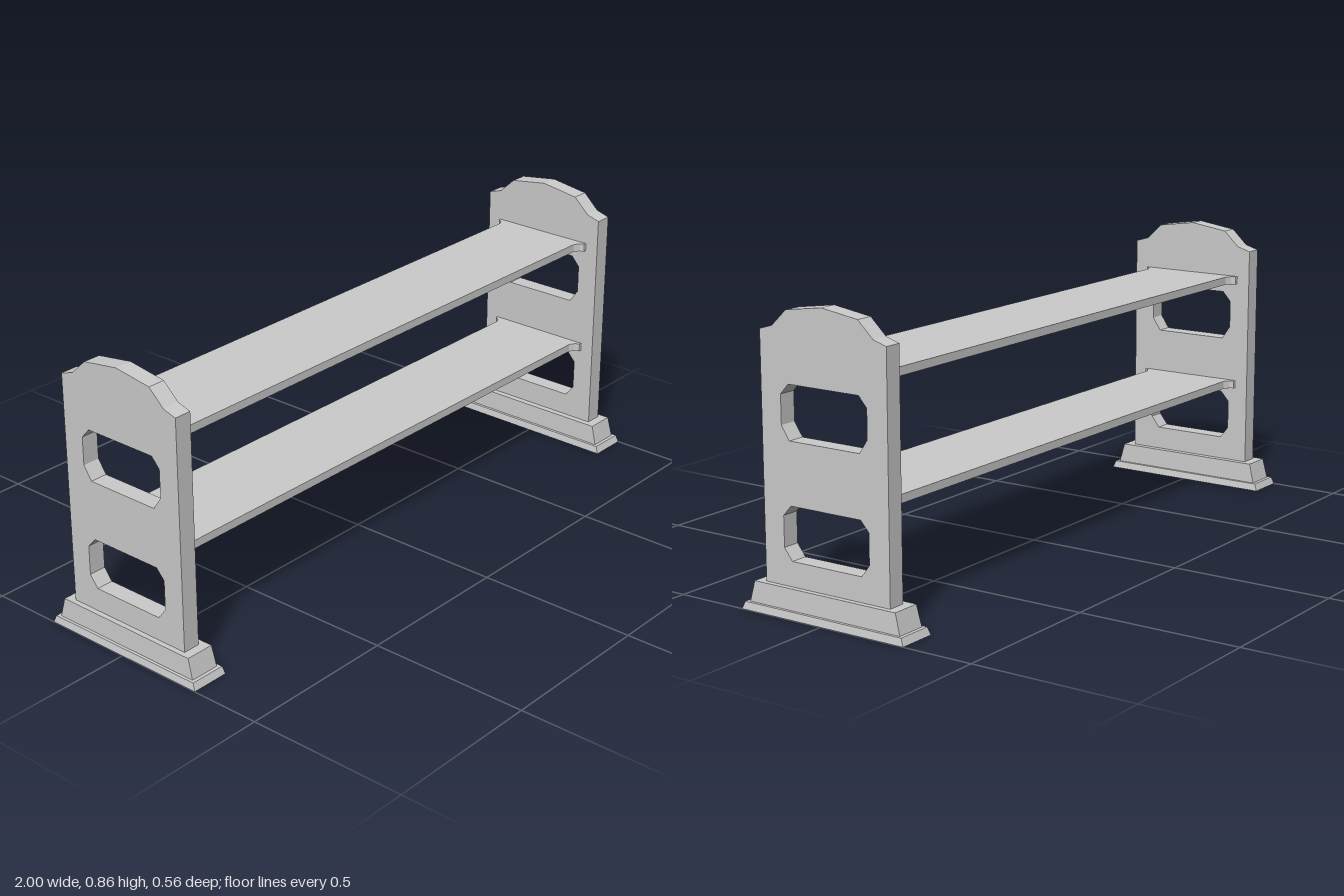
import * as THREE from 'three';

const material = new THREE.MeshStandardMaterial({ color: 0xcccccc, flatShading: true });

// Stacks rectangular rings [half x, half z, y] and caps both ends
function loftRectangles(rings) {
  const corners = rings.map(([x, z, y]) => [[x, y, z], [x, y, -z], [-x, y, -z], [-x, y, z]]);
  const pos = [];
  const quad = (a, b, c, d) => pos.push(...a, ...b, ...c, ...a, ...c, ...d);
  for (let i = 0; i < corners.length - 1; i++) {
    for (let k = 0; k < 4; k++) {
      const n = (k + 1) % 4;
      quad(corners[i][k], corners[i][n], corners[i + 1][n], corners[i + 1][k]);
    }
  }
  quad(...corners[corners.length - 1]);
  quad(...[...corners[0]].reverse());
  const geo = new THREE.BufferGeometry();
  geo.setAttribute('position', new THREE.Float32BufferAttribute(pos, 3));
  geo.computeVertexNormals();
  return geo;
}

const points = (list) => list.map(([x, y]) => new THREE.Vector2(x, y));

// Octagonal opening with clipped corners
function opening(bottom, lowShoulder, highShoulder, top) {
  return new THREE.Path(points([
    [-0.12, bottom], [0.12, bottom], [0.147, lowShoulder], [0.147, highShoulder],
    [0.12, top], [-0.12, top], [-0.147, highShoulder], [-0.147, lowShoulder],
  ]));
}

// Upright end panel with a peaked crest and two openings
function endPanelGeometry() {
  const shape = new THREE.Shape(points([
    [-0.215, 0.083], [0.215, 0.083], [0.215, 0.785], [0.172, 0.798], [0.122, 0.845],
    [0, 0.863], [-0.122, 0.845], [-0.172, 0.798], [-0.215, 0.785],
  ]));
  shape.holes.push(opening(0.155, 0.19, 0.28, 0.31), opening(0.49, 0.53, 0.615, 0.645));
  const depth = 0.054;
  const geo = new THREE.ExtrudeGeometry(shape, { depth, bevelEnabled: false });
  return geo.translate(0, 0, -depth / 2).rotateY(Math.PI / 2);
}

// Long shelf whose ends flare where they meet the panels
function shelfGeometry() {
  const flare = [[0.882, 0.147], [0.9, 0.157], [0.907, 0.17], [0.916, 0.172]];
  const flip = (sx, sy) => flare.map(([x, y]) => [x * sx, y * sy]);
  const shape = new THREE.Shape(points([
    ...flip(1, 1), ...flip(1, -1).reverse(), ...flip(-1, -1), ...flip(-1, 1).reverse(),
  ]));
  const geo = new THREE.ExtrudeGeometry(shape, { depth: 0.025, bevelEnabled: false });
  return geo.rotateX(-Math.PI / 2);
}

export function createModel() {
  const group = new THREE.Group();
  const add = (name, geo, x, y) => {
    const mesh = new THREE.Mesh(geo, material);
    mesh.name = name;
    mesh.position.set(x, y, 0);
    group.add(mesh);
  };

  // Stepped foot with a shallow recess underneath
  const foot = loftRectangles([
    [0.05, 0.268, 0.004], [0.051, 0.268, 0], [0.06, 0.28, 0],
    [0.056, 0.271, 0.022], [0.047, 0.26, 0.022], [0.045, 0.244, 0.083],
  ]);
  const panel = endPanelGeometry();
  for (const [side, s] of [['left', 1], ['right', -1]]) {
    add(side + 'Foot', foot, s * 0.94, 0);
    add(side + 'EndPanel', panel, s * 0.942, 0);
  }

  // Two shelves
  const shelf = shelfGeometry();
  add('lowerShelf', shelf, 0, 0.328);
  add('upperShelf', shelf, 0, 0.675);
  return group;
}
